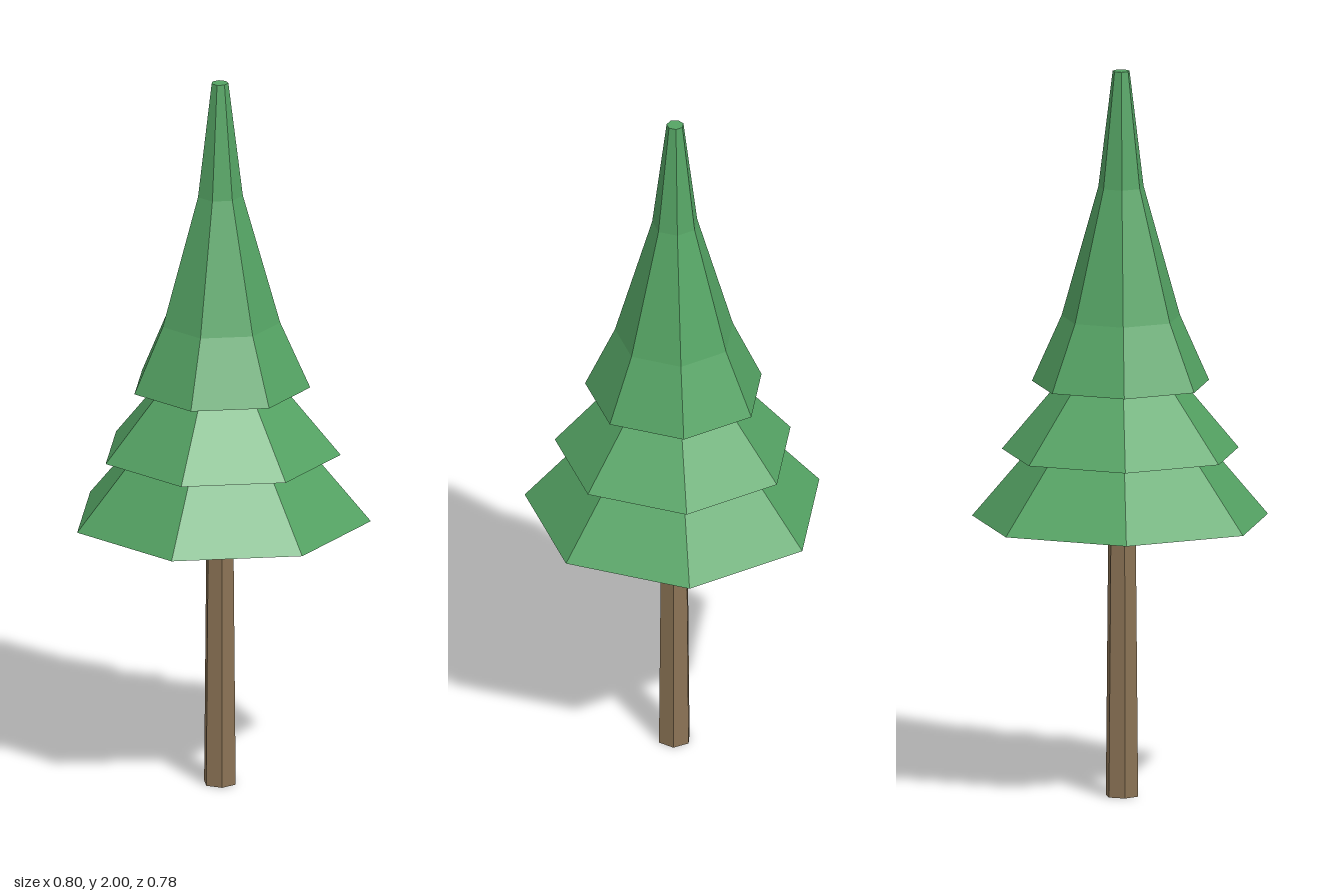
import * as THREE from 'three';

const AXIS_Z = 0.019;

// Faceted tapering section standing between heights y0 and y1
function section(name, material, sides, r0, r1, y0, y1, open = false) {
  const geometry = new THREE.CylinderGeometry(r1, r0, y1 - y0, sides, 1, open, Math.PI);
  const mesh = new THREE.Mesh(geometry, material);
  mesh.name = name;
  mesh.position.set(0, (y0 + y1) / 2, AXIS_Z);
  return mesh;
}

export function createModel() {
  const model = new THREE.Group();
  model.name = 'pineTree';
  const bark = new THREE.MeshStandardMaterial({ color: 0x8b7355, flatShading: true });
  const needles = new THREE.MeshStandardMaterial({ color: 0x55a464, flatShading: true });

  // Six-sided trunk
  const trunk = section('trunk', bark, 6, 0.0465, 0.039, 0, 0.8);
  trunk.position.z = 0.022;
  model.add(trunk);

  // Seven-sided skirts of foliage, each overhanging the next one up
  const foliage = new THREE.Group();
  foliage.name = 'foliage';
  const tiers = [
    ['lowerTier', 0.4125, 0.255, 0.76, 0.947],
    ['middleTier', 0.33, 0.172, 0.947, 1.137],
    ['upperTier', 0.247, 0.165, 1.137, 1.32],
  ];
  for (const [name, r0, r1, y0, y1] of tiers) {
    foliage.add(section(name, needles, 7, r0, r1, y0, y1));
  }

  // Slender crown and blunt tip
  foliage.add(section('crown', needles, 7, 0.165, 0.063, 1.32, 1.68, true));
  foliage.add(section('tip', needles, 7, 0.063, 0.0235, 1.68, 2));
  model.add(foliage);
  return model;
}
